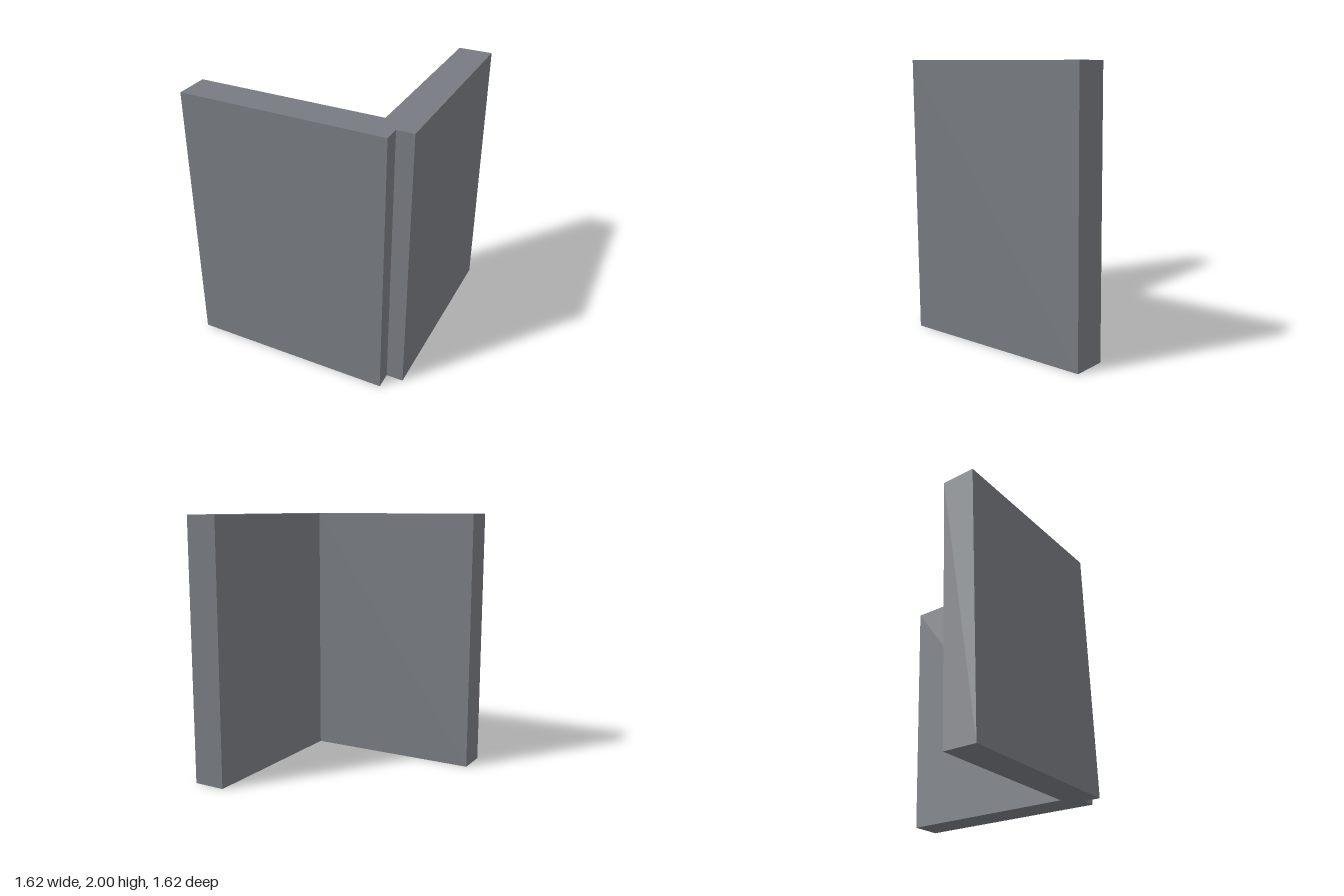
import * as THREE from 'three';

const HALF = 0.8125;  // half of the outer width
const INNER = 0.5625; // inner wall faces
const NOTCH = 0.6875; // corner rebate
const HEIGHT = 2;

export function createModel() {
  const group = new THREE.Group();
  group.name = 'cornerWall';

  // L-shaped plan as [x, z], with a square notch in the outer corner
  const plan = [
    [-HALF, HALF], [NOTCH, HALF], [NOTCH, NOTCH], [HALF, NOTCH],
    [HALF, -HALF], [INNER, -HALF], [INNER, INNER], [-HALF, INNER],
  ];
  const shape = new THREE.Shape(plan.map(([x, z]) => new THREE.Vector2(x, -z)));

  // Raise the plan upright into the two walls
  const geometry = new THREE.ExtrudeGeometry(shape, { depth: HEIGHT, bevelEnabled: false });
  geometry.rotateX(-Math.PI / 2);

  const material = new THREE.MeshStandardMaterial({ color: 0x777b81 });
  const walls = new THREE.Mesh(geometry, material);
  walls.name = 'notchedCornerWalls';
  group.add(walls);
  return group;
}
